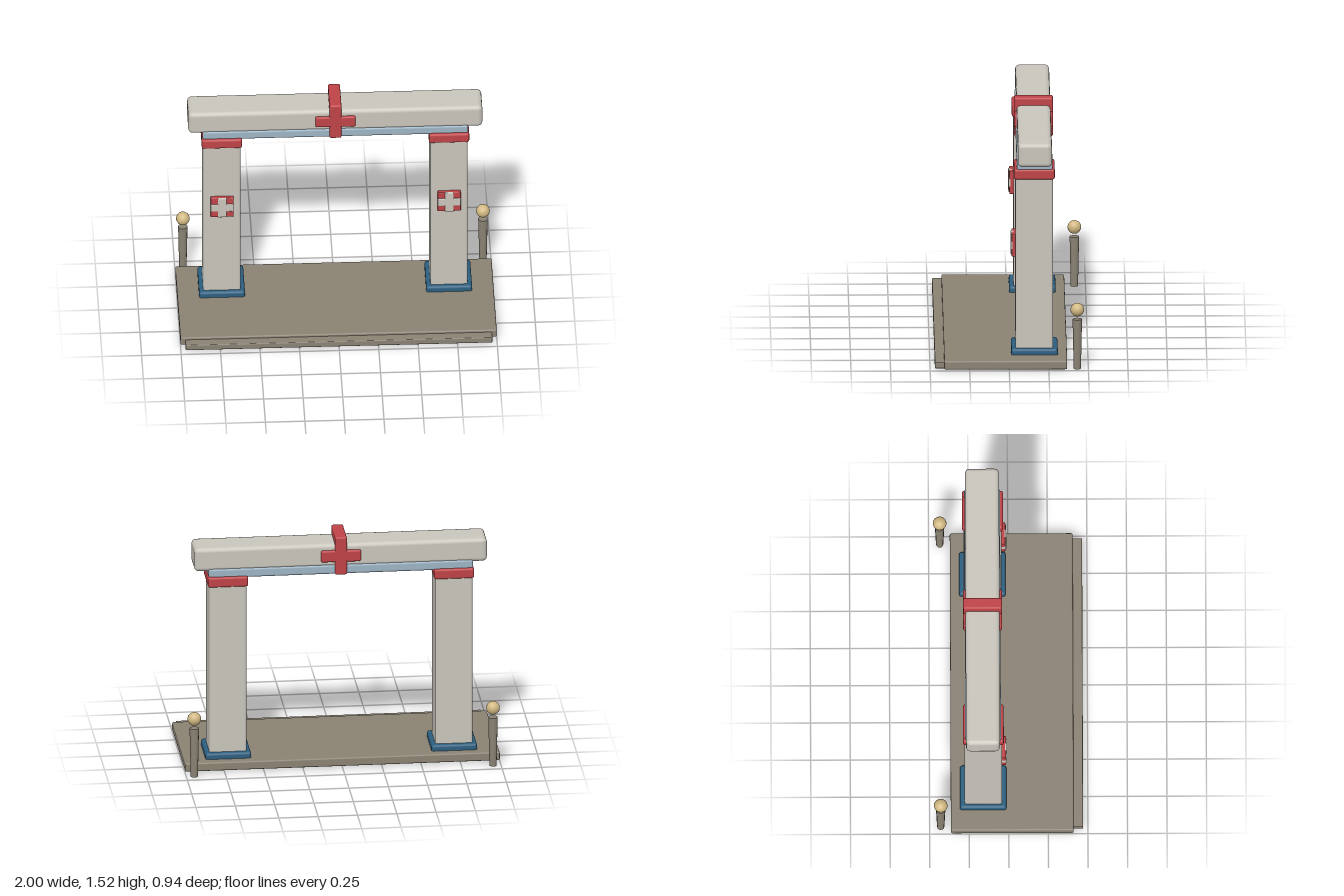
import * as THREE from 'three';
import { RoundedBoxGeometry } from 'three/addons/geometries/RoundedBoxGeometry.js';

const mat = (color) => new THREE.MeshStandardMaterial({ color });
const stone = mat(0xc9c5bc);
const paving = mat(0x8a8273);
const red = mat(0xbf4347);
const navy = mat(0x2c5f80);
const steel = mat(0x9db4c4);
const brass = mat(0xd2b983);

// Softly bevelled block given by its extents on each axis
function block(name, [x0, x1], [y0, y1], [z0, z1], bevel, material) {
  const geometry = new RoundedBoxGeometry(x1 - x0, y1 - y0, z1 - z0, 2, bevel);
  const mesh = new THREE.Mesh(geometry, material);
  mesh.position.set((x0 + x1) / 2, (y0 + y1) / 2, (z0 + z1) / 2);
  mesh.name = name;
  return mesh;
}

// Same, centred on a given x with a given width
const centred = (name, x, w, y, z, bevel, material) =>
  block(name, [x - w / 2, x + w / 2], y, z, bevel, material);

// Pillar with its foot, cap and front plaque
function pillar(x, name) {
  const group = new THREE.Group();
  group.name = name;
  group.add(
    centred('foot', x, 0.29, [0.005, 0.103], [-0.308, -0.014], 0.016, navy),
    centred('shaft', x, 0.236, [0.004, 1.23], [-0.279, -0.041], 0.016, stone),
    centred('cap', x, 0.256, [1.21, 1.278], [-0.289, -0.031], 0.014, red),
    centred('plaque', x, 0.146, [0.69, 0.836], [-0.06, -0.016], 0.006, red),
    centred('plaqueUpright', x, 0.056, [0.69, 0.836], [-0.05, -0.01], 0.006, stone),
    centred('plaqueCrossbar', x, 0.146, [0.735, 0.791], [-0.05, -0.01], 0.006, stone)
  );
  return group;
}

// Tapered bollard topped with a ball, behind the platform
function bollard(x, name) {
  const group = new THREE.Group();
  group.name = name;
  const post = new THREE.Mesh(new THREE.CylinderGeometry(0.03, 0.023, 0.325, 12), paving);
  post.name = 'post';
  post.position.y = 0.1625;
  const ball = new THREE.Mesh(new THREE.SphereGeometry(0.043, 20, 14), brass);
  ball.name = 'ball';
  ball.position.y = 0.387;
  group.add(post, ball);
  group.position.set(x, 0, -0.43);
  return group;
}

export function createModel() {
  const model = new THREE.Group();
  model.name = 'gateway';

  // Platform and front step
  model.add(
    centred('platform', 0, 2, [0.007, 0.064], [-0.366, 0.41], 0.01, paving),
    centred('frontStep', 0, 1.94, [0.008, 0.048], [0.38, 0.47], 0.006, paving)
  );

  // Mirrored supports
  for (const [side, s] of [['left', 1], ['right', -1]]) {
    model.add(pillar(s * 0.718, side + 'Pillar'), bollard(s * 0.949, side + 'Bollard'));
  }

  // Lintel and the trim under it
  model.add(
    centred('trim', 0, 1.68, [1.268, 1.33], [-0.275, -0.049], 0.014, steel),
    centred('lintel', 0, 1.86, [1.312, 1.468], [-0.27, -0.055], 0.028, stone)
  );

  // Cross wrapped around the lintel
  model.add(
    centred('crossUpright', 0, 0.076, [1.264, 1.518], [-0.285, -0.039], 0.012, red),
    centred('crossBar', 0, 0.254, [1.35, 1.428], [-0.285, -0.039], 0.012, red)
  );
  return model;
}
